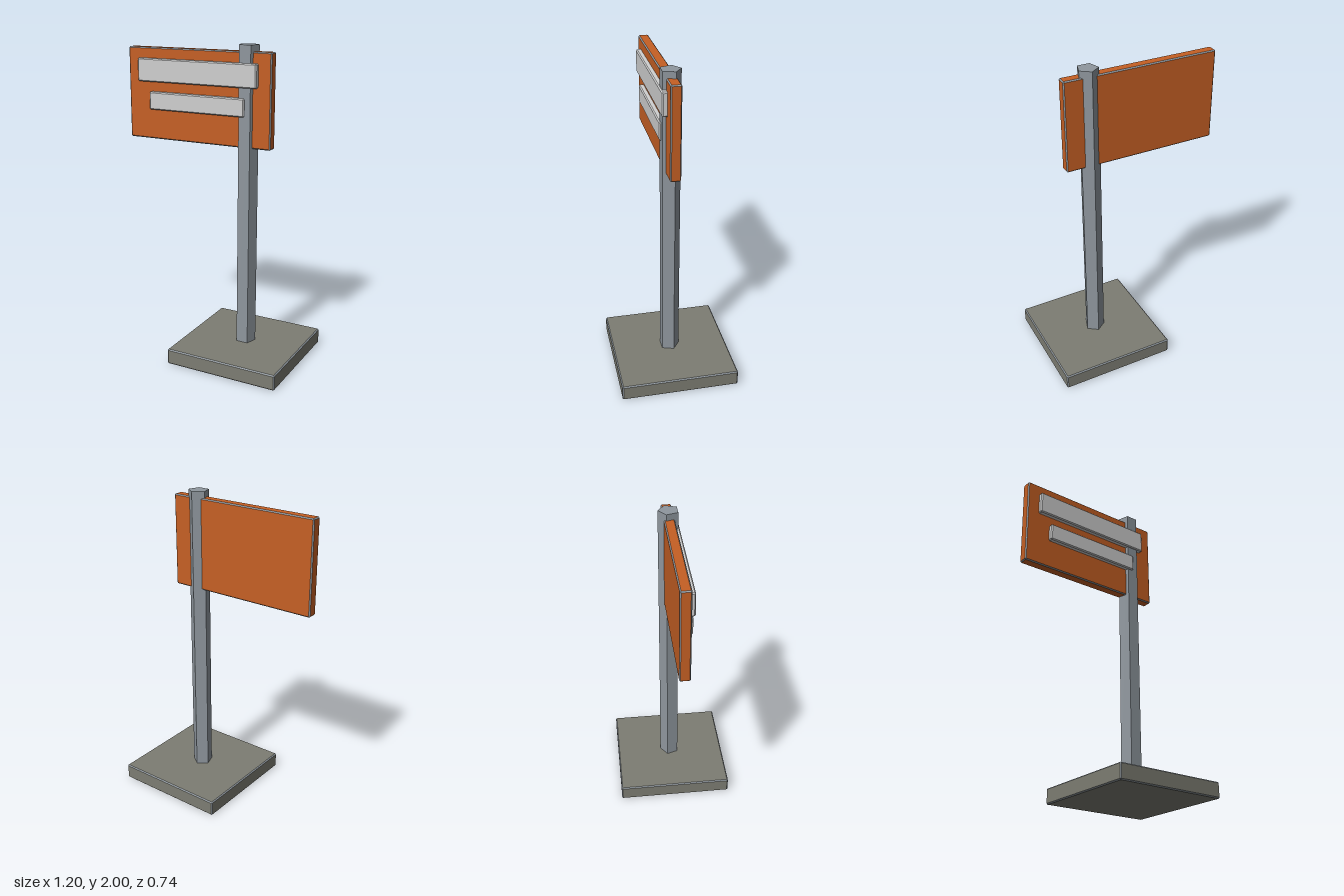
import * as THREE from 'three';

const mat = (name, color) => {
  const m = new THREE.MeshStandardMaterial({ color });
  m.name = name;
  return m;
};

// Box with chamfered edges: group 0 is the six flat faces, group 1 the chamfers.
function chamferBox(min, max, bevel) {
  const mid = min.map((v, i) => (v + max[i]) / 2);
  const half = max.map((v, i) => (v - min[i]) / 2);
  const pos = [];
  // Corner with signs s, lying on the face across the given axis
  const corner = (s, axis) =>
    new THREE.Vector3(...s.map((k, i) => k * (half[i] - (i === axis ? 0 : bevel))));
  // Add a convex polygon, wound to face outwards
  const polygon = (p) => {
    const n = p[1].clone().sub(p[0]).cross(p[2].clone().sub(p[0]));
    if (n.dot(p[0]) < 0) p.reverse();
    for (let i = 1; i < p.length - 1; i++)
      for (const q of [p[0], p[i], p[i + 1]]) pos.push(q.x, q.y, q.z);
  };
  const signs = (a, va, b, vb, c, vc) => {
    const s = [0, 0, 0];
    s[a] = va; s[b] = vb; s[c] = vc;
    return s;
  };
  const pm = [-1, 1];

  // Flat faces
  for (let a = 0; a < 3; a++) {
    const b = (a + 1) % 3, c = (a + 2) % 3;
    for (const k of pm)
      polygon([[-1, -1], [1, -1], [1, 1], [-1, 1]].map(([u, v]) => corner(signs(a, k, b, u, c, v), a)));
  }
  const flatCount = pos.length / 3;

  // Edge strips
  for (let a = 0; a < 3; a++) {
    const b = (a + 1) % 3, c = (a + 2) % 3;
    for (const u of pm) for (const v of pm) {
      const lo = signs(a, -1, b, u, c, v), hi = signs(a, 1, b, u, c, v);
      polygon([corner(lo, b), corner(hi, b), corner(hi, c), corner(lo, c)]);
    }
  }
  // Corner triangles
  for (const x of pm) for (const y of pm) for (const z of pm)
    polygon([0, 1, 2].map((axis) => corner([x, y, z], axis)));

  const g = new THREE.BufferGeometry();
  g.setAttribute('position', new THREE.Float32BufferAttribute(pos, 3));
  g.addGroup(0, flatCount, 0);
  g.addGroup(flatCount, pos.length / 3 - flatCount, 1);
  g.translate(...mid);
  g.computeVertexNormals();
  return g;
}

export function createModel() {
  const model = new THREE.Group();
  model.name = 'signpost';

  const orange = mat('orange', 0xc66024);
  const metal = mat('metal grey', 0x8f979e);
  const stone = mat('stone grey', 0x7d7d73);
  const pale = mat('pale grey', 0xd0d0d0);
  metal.flatShading = true;

  const add = (name, geometry, material) => {
    const mesh = new THREE.Mesh(geometry, material);
    mesh.name = name;
    model.add(mesh);
    return mesh;
  };

  // Square foot
  add('base', chamferBox([-0.144, 0, -0.372], [0.6, 0.1, 0.372], 0.007), [stone, metal]);

  // Five-sided post, flat side to the front
  const post = add('post', new THREE.CylinderGeometry(0.065, 0.065, 1.95, 5), metal);
  post.position.set(0.228, 1.025, 0);
  post.rotation.y = Math.PI;

  // Sign board and the two strips on its front
  add('signBoard', chamferBox([-0.603, 1.38, -0.033], [0.392, 1.96, 0.032], 0.007), [orange, metal]);
  add('upperStrip', chamferBox([-0.52, 1.747, 0.025], [0.308, 1.893, 0.063], 0.007), [pale, pale]);
  add('lowerStrip', chamferBox([-0.437, 1.572, 0.025], [0.228, 1.685, 0.063], 0.007), [pale, pale]);

  return model;
}
